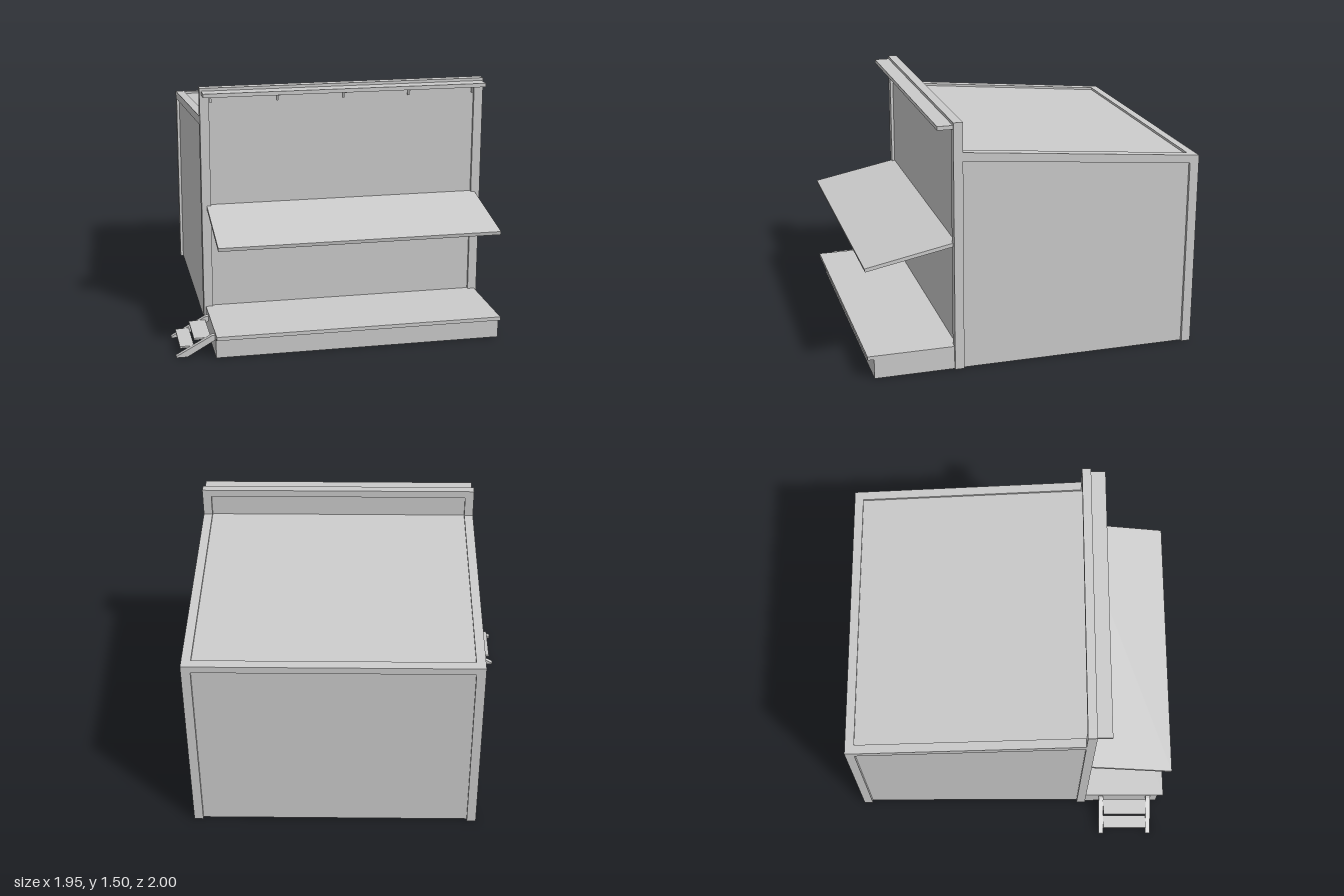
import * as THREE from 'three';

const material = new THREE.MeshStandardMaterial({ color: 0xcccccc, flatShading: true });
const L = -0.76, R = 0.97;            // outer sides of the building
const BACK = -1, FRONT = 0.485;       // outer faces of back and front
const POST = 0.055, INSET = 0.018, WALL = 0.015;
const PARAPET_BACK = FRONT - POST;
const roofY = (z) => 1.32 - (PARAPET_BACK - z) * 0.0944;

export function createModel() {
  const model = new THREE.Group();

  const add = (parent, name, geometry) => {
    const mesh = new THREE.Mesh(geometry, material);
    mesh.name = name;
    parent.add(mesh);
    return mesh;
  };

  // Box given by its limits on each axis
  const box = (parent, name, x0, x1, y0, y1, z0, z1) => {
    const g = new THREE.BoxGeometry(x1 - x0, y1 - y0, z1 - z0);
    g.translate((x0 + x1) / 2, (y0 + y1) / 2, (z0 + z1) / 2);
    return add(parent, name, g);
  };

  const outline = (points) => new THREE.Shape(points.map(([a, b]) => new THREE.Vector2(a, b)));

  // Side profile of (z, y) points, extruded along x
  const sideProfile = (parent, name, points, x0, x1) => {
    const g = new THREE.ExtrudeGeometry(outline(points), { depth: x1 - x0, bevelEnabled: false });
    g.rotateY(-Math.PI / 2).translate(x1, 0, 0);
    return add(parent, name, g);
  };

  // Band following the roof slope, between two depths below the roof line
  const sloped = (parent, name, x0, x1, z0, z1, top, bottom) => sideProfile(parent, name, [
    [z0, roofY(z0) - bottom], [z1, roofY(z1) - bottom], [z1, roofY(z1) - top], [z0, roofY(z0) - top],
  ], x0, x1);

  const group = (name) => {
    const g = new THREE.Group();
    g.name = name;
    model.add(g);
    return g;
  };

  // Frame: corner posts, sloped side beams, back beam and parapet rail
  const frame = group('frame');
  for (const x of [L, R - POST]) {
    box(frame, 'frontPost', x, x + POST, 0, 1.495, PARAPET_BACK, FRONT);
    sideProfile(frame, 'backPost', [
      [BACK, 0], [BACK + POST, 0], [BACK + POST, roofY(BACK + POST)], [BACK, roofY(BACK)],
    ], x, x + POST);
    sloped(frame, 'sideBeam', x, x + POST, BACK + POST, PARAPET_BACK, 0, 0.05);
  }
  sloped(frame, 'backBeam', L + POST, R - POST, BACK, BACK + POST, 0, 0.042);
  box(frame, 'parapetRail', L + POST, R - POST, 1.45, 1.495, PARAPET_BACK, FRONT);

  // Thin recessed panels; the underside is open
  const walls = group('walls');
  for (const x of [L + INSET, R - INSET - WALL]) {
    sideProfile(walls, 'sideWall', [
      [BACK + 0.03, 0], [FRONT - 0.03, 0],
      [FRONT - 0.03, roofY(FRONT - 0.03) - 0.03], [BACK + 0.03, roofY(BACK) - 0.03],
    ], x, x + WALL);
  }
  box(walls, 'backWall', L + 0.03, R - 0.03, 0, roofY(BACK) - 0.02, BACK + INSET, BACK + INSET + WALL);
  box(walls, 'frontWall', L + 0.03, R - 0.03, 0, 1.47, FRONT - INSET - WALL, FRONT - INSET);
  sloped(walls, 'roofPanel', L + 0.03, R - 0.03, BACK + 0.03, FRONT - 0.03, 0.014, 0.03);

  // Cornice shelf on small brackets
  const cornice = group('cornice');
  box(cornice, 'corniceShelf', -0.75, 0.96, 1.455, 1.478, FRONT - 0.005, 0.575);
  for (let i = 0; i < 5; i++) {
    const x = -0.695 + i * 0.4;
    box(cornice, 'bracketArm', x - 0.008, x + 0.008, 1.445, 1.455, FRONT - INSET, 0.535);
    box(cornice, 'bracketPlate', x - 0.005, x + 0.005, 1.405, 1.45, FRONT - INSET, FRONT - 0.005);
  }

  // Sloping awning running through the front wall
  sideProfile(model, 'awning', [
    [0.42, 0.768], [0.996, 0.656], [1, 0.677], [0.424, 0.79],
  ], -0.73, 0.94);

  // Porch: deck board over a hollow skirt
  const porch = group('porch');
  const PL = -0.748, PR = 0.956;
  box(porch, 'deck', PL, PR, 0.12, 0.142, FRONT - INSET, 1);
  box(porch, 'frontSkirt', PL, PR, 0, 0.12, 0.945, 0.962);
  for (const x of [PL, PR - 0.015]) {
    box(porch, 'sideSkirt', x, x + 0.015, 0, 0.12, FRONT - INSET, 0.945);
  }

  // Steps on the right side of the porch
  const steps = group('steps');
  for (const z of [0.573, 0.885]) {
    const g = new THREE.ExtrudeGeometry(outline([
      [-0.975, 0], [-0.91, 0], [-0.735, 0.1], [-0.735, 0.122], [-0.765, 0.122], [-0.975, 0.008],
    ]), { depth: 0.03, bevelEnabled: false });
    add(steps, 'stringer', g.translate(0, 0, z));
  }
  box(steps, 'lowerTread', -0.95, -0.868, 0.045, 0.056, 0.603, 0.885);
  box(steps, 'upperTread', -0.868, -0.768, 0.09, 0.101, 0.603, 0.885);

  return model;
}
